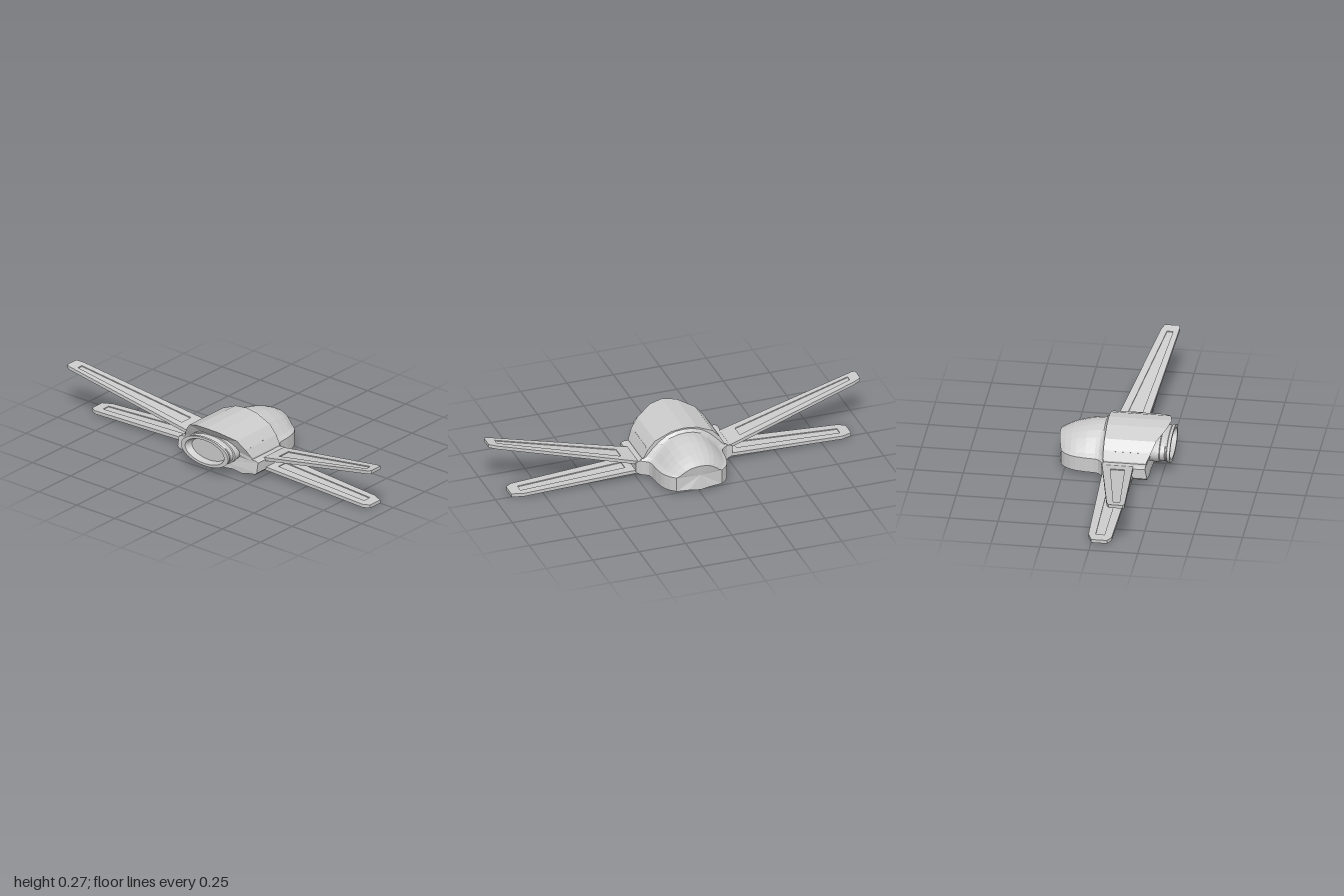
import * as THREE from 'three';
import { toCreasedNormals } from 'three/addons/utils/BufferGeometryUtils.js';

const grey = new THREE.MeshStandardMaterial({ color: 0xcccccc });
const faceted = new THREE.MeshStandardMaterial({ color: 0xcccccc, flatShading: true });

function part(name, geometry, material = faceted) {
  const mesh = new THREE.Mesh(geometry, material);
  mesh.name = name;
  return mesh;
}

// Closed ring from a half section [x, y, z], listed from top centre to bottom centre
function mirrorRing(half) {
  const back = half.slice(1, -1).reverse().map(([x, y, z]) => [x, y, -z]);
  return [...half, ...back];
}

// Capped skin through rings ordered along +x
function loft(rings) {
  const n = rings[0].length, pos = [], idx = [];
  rings.forEach((ring) => ring.forEach((p) => pos.push(...p)));
  for (let i = 0; i < rings.length - 1; i++) {
    for (let j = 0; j < n; j++) {
      const k = (j + 1) % n, a = i * n, c = a + n;
      idx.push(a + j, a + k, c + j, a + k, c + k, c + j);
    }
  }
  [0, rings.length - 1].forEach((r, end) => {
    const centre = [0, 1, 2].map((d) => rings[r].reduce((s, p) => s + p[d], 0) / n);
    const m = pos.length / 3;
    pos.push(...centre);
    for (let j = 0; j < n; j++) {
      const k = (j + 1) % n;
      idx.push(m, r * n + (end ? j : k), r * n + (end ? k : j));
    }
  });
  const g = new THREE.BufferGeometry();
  g.setAttribute('position', new THREE.Float32BufferAttribute(pos, 3));
  g.setIndex(idx);
  const flat = g.toNonIndexed();
  flat.computeVertexNormals();
  return flat;
}

// Prism along x with its own rear x for each section point [z, y, rearX]
function prism(section, frontX) {
  return loft([
    mirrorRing(section.map(([z, y, x]) => [x, y, z])),
    mirrorRing(section.map(([z, y]) => [frontX, y, z])),
  ]);
}

// Nose section: bell-shaped canopy above a vertical side wall
const bell = [[0, 1], [0.2, 0.97], [0.4, 0.86], [0.58, 0.66], [0.74, 0.4], [0.88, 0.14], [1, 0]];
function noseRing([x, w, top, bow]) {
  const at = (u, y) => [x - bow * u * u, y, u * w];
  return mirrorRing([
    ...bell.map(([u, h]) => at(u, 0.098 + h * (top - 0.098))),
    at(1, 0.02), at(0.5, 0.024), at(0, 0.018),
  ]);
}

// Wing: plan outline [x, span], solid lower slab plus a top layer with a recessed panel
function wing(name, outline, panel, y0, slope) {
  const toShape = (pts) => new THREE.Shape(pts.map(([x, s]) => new THREE.Vector2(x, s)));
  const layer = (shape, base, depth) => {
    const g = new THREE.ExtrudeGeometry(shape, { depth, bevelEnabled: false });
    g.rotateX(-Math.PI / 2);
    const p = g.attributes.position;
    for (let i = 0; i < p.count; i++) p.setY(i, p.getY(i) + base + y0 - slope * p.getZ(i));
    g.computeVertexNormals();
    return g;
  };
  const rim = toShape(outline);
  rim.holes.push(new THREE.Path(panel.map(([x, s]) => new THREE.Vector2(x, s))));
  const group = new THREE.Group();
  group.name = name;
  group.add(part('wingSlab', layer(toShape(outline), 0, 0.013)));
  group.add(part('wingPanelRim', layer(rim, 0.013, 0.005)));
  return group;
}

export function createModel() {
  const model = new THREE.Group();

  // Main hull with swept rear edge
  model.add(part('hull', prism([
    [0, 0.246, -0.28], [0.07, 0.237, -0.266], [0.155, 0.2, -0.222], [0.195, 0.155, -0.202],
    [0.22, 0.108, -0.18], [0.22, 0.09, -0.18], [0, 0.09, -0.18],
  ], 0.042)));

  // Broad lower sill that carries the wing roots
  model.add(part('lowerSill', prism([
    [0, 0.1, -0.18], [0.245, 0.1, -0.18], [0.26, 0.092, -0.18], [0.26, 0.04, -0.19],
    [0.25, 0.03, -0.19], [0.2, 0.022, -0.19], [0.165, 0.01, -0.19], [0.1, 0.018, -0.19],
    [0.05, 0.01, -0.19], [0, 0.01, -0.19],
  ], 0.044)));

  // Nose stations: x, half width, top height, bow of the front
  model.add(part('nose', loft([
    [0.038, 0.24, 0.243, 0], [0.055, 0.212, 0.224, 0], [0.068, 0.197, 0.224, 0],
    [0.09, 0.19, 0.223, 0], [0.14, 0.187, 0.214, 0], [0.19, 0.178, 0.199, 0],
    [0.22, 0.168, 0.189, 0.003], [0.255, 0.148, 0.173, 0.009], [0.288, 0.122, 0.155, 0.02],
  ].map(noseRing))));

  // Oval exhaust with grooves and a recessed opening, [radius, distance back]
  const profile = [
    [0.07, 0.1], [0.075, 0.2], [0.0775, 0.212], [0.0775, 0.235], [0.073, 0.238], [0.073, 0.262],
    [0.0715, 0.265], [0.0715, 0.271], [0.0765, 0.275], [0.0775, 0.29],
    [0.064, 0.29], [0.056, 0.255], [0, 0.255],
  ].map(([r, t]) => new THREE.Vector2(r, t));
  const exhaust = new THREE.LatheGeometry(profile, 40);
  exhaust.rotateZ(Math.PI / 2).scale(1, 1, 2).translate(0, 0.118, 0);
  model.add(part('exhaust', toCreasedNormals(exhaust, 0.5), grey));

  // Two wings and a flank strip on each side
  for (const side of [1, -1]) {
    const half = new THREE.Group();
    half.name = side > 0 ? 'backSide' : 'frontSide';
    half.add(wing('upperWing',
      [[-0.116, 0.22], [0.046, 0.22], [-0.085, 0.96], [-0.1, 1], [-0.172, 1], [-0.18, 0.985]],
      [[-0.085, 0.32], [-0.012, 0.32], [-0.118, 0.95], [-0.15, 0.95]], 0.026, 0.224));
    half.add(wing('lowerWing',
      [[-0.118, 0.22], [0.042, 0.22], [0.022, 0.86], [0, 0.915], [-0.08, 0.915], [-0.1, 0.88]],
      [[-0.068, 0.3], [-0.008, 0.3], [-0.015, 0.86], [-0.06, 0.86]], 0.044, -0.048));
    const strip = part('flankStrip', new THREE.BoxGeometry(0.175, 0.008, 0.004));
    strip.position.set(-0.073, 0.154, -0.195);
    strip.rotation.x = 0.6;
    half.add(strip);
    half.scale.z = side;
    model.add(half);
  }
  return model;
}
